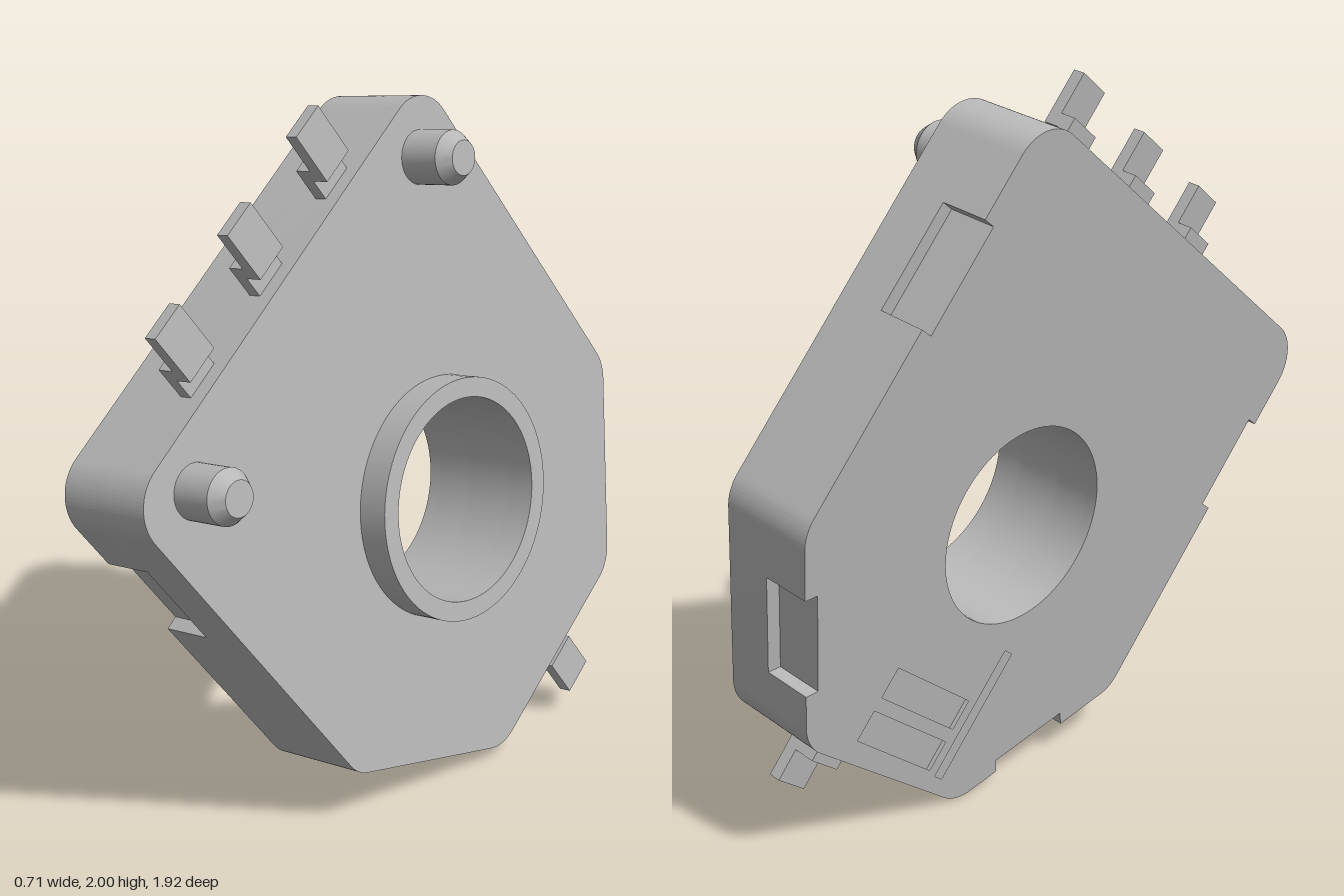
import * as THREE from 'three';
import { toCreasedNormals } from 'three/addons/utils/BufferGeometryUtils.js';

// Plate frame: local z is the plate normal, z = 0 is the face with the collar
const N = new THREE.Vector3(0.982, 0.13, -0.135).normalize();
const U = new THREE.Vector3(0, 1, 0).cross(N).normalize();
const V = N.clone().cross(U);
const THICK = 0.302, NOTCH_TOP = -0.15, POCKET_TOP = -0.265;

// Upright side coordinates to plate coordinates
const P = (h, y) => new THREE.Vector2((h + 0.018 * (y - 1)) / 0.991, (y - 1) / 0.991);
const mix = (a, b, t) => a.clone().lerp(b, t);

// Outline corners with radius; notch = range along the edge to the next corner
const corners = [
  { p: P(-0.973, 1.13), r: 0.13 },
  { p: P(0.228, 2.024), r: 0.13, notch: [0.26, 0.52] },
  { p: P(0.958, 1.061), r: 0.13, notch: [0.3, 0.75] },
  { p: P(0.921, 0.431), r: 0.13 },
  { p: P(0.358, 0.029), r: 0.13, notch: [0.255, 0.67] },
  { p: P(-0.265, 0.177), r: 0.11, notch: [0.52, 0.765] },
];
const holeCentre = P(0.178, 0.853), HOLE_R = 0.292;

function circle(PathType, c, r) {
  const path = new PathType();
  path.absarc(c.x, c.y, r, 0, Math.PI * 2, false);
  return path;
}

// Rounded outline, optionally with shallow notches cut into its edges
function plateShape(notched) {
  const s = new THREE.Shape();
  corners.forEach(({ p, r, notch }, i) => {
    const prev = corners[(i + 5) % 6].p, next = corners[(i + 1) % 6].p;
    const dIn = p.clone().sub(prev).normalize(), dOut = next.clone().sub(p).normalize();
    const turn = Math.acos(dIn.dot(dOut));
    const t = r * Math.tan(turn / 2), k = t - (4 / 3) * Math.tan(turn / 4) * r;
    const at = (d, m) => p.clone().addScaledVector(d, m);
    const a = at(dIn, -t), c1 = at(dIn, -k), c2 = at(dOut, k), b = at(dOut, t);
    if (i === 0) s.moveTo(a.x, a.y); else s.lineTo(a.x, a.y);
    s.bezierCurveTo(c1.x, c1.y, c2.x, c2.y, b.x, b.y);
    if (notched && notch) {
      const inward = new THREE.Vector2(dOut.y, -dOut.x).multiplyScalar(0.04);
      const q0 = mix(p, next, notch[0]), q1 = mix(p, next, notch[1]);
      for (const q of [q0, q0.clone().add(inward), q1.clone().add(inward), q1]) s.lineTo(q.x, q.y);
    }
  });
  s.closePath();
  s.holes.push(circle(THREE.Path, holeCentre, HOLE_R));
  return s;
}

function extrude(shape, z0, z1) {
  const g = new THREE.ExtrudeGeometry(shape, { depth: z1 - z0, bevelEnabled: false, curveSegments: 40 });
  g.translate(0, 0, z0);
  return toCreasedNormals(g, 0.5);
}

export function createModel() {
  const grey = new THREE.MeshStandardMaterial({ color: 0xb8b8b8 });
  grey.name = 'grey';
  const model = new THREE.Group();
  model.name = 'rotarySensor';
  const plate = new THREE.Group();
  plate.name = 'tiltedAssembly';
  plate.applyMatrix4(new THREE.Matrix4().makeBasis(U, V, N).setPosition(0.11, 1, 0));
  model.add(plate);

  const add = (name, geometry) => {
    const mesh = new THREE.Mesh(geometry, grey);
    mesh.name = name;
    plate.add(mesh);
    return mesh;
  };

  // Housing in three layers: plain, notched, and notched with pockets
  add('housingFront', extrude(plateShape(false), NOTCH_TOP, 0));
  add('housingMiddle', extrude(plateShape(true), POCKET_TOP, NOTCH_TOP));
  const back = plateShape(true);
  const along = corners[1].p.clone().sub(corners[0].p).normalize();
  const down = new THREE.Vector2(along.y, -along.x);
  const origin = P(0.18, 0.45);
  for (const [e0, e1, f0, f1] of [[0, 0.035, 0, 0.4], [0.07, 0.42, 0.17, 0.26], [0.07, 0.42, 0.3, 0.39]]) {
    const pts = [[e0, f0], [e1, f0], [e1, f1], [e0, f1]].map(([e, f]) =>
      origin.clone().addScaledVector(along, e).addScaledVector(down, f));
    back.holes.push(new THREE.Path(pts));
  }
  add('housingBack', extrude(back, -THICK, POCKET_TOP));

  // Raised collar around the through hole
  const collar = circle(THREE.Shape, holeCentre, 0.348);
  collar.holes.push(circle(THREE.Path, holeCentre, HOLE_R));
  add('collar', extrude(collar, 0, 0.09));

  // Locating pegs with chamfered tips
  const pegProfile = [[0.075, -0.02], [0.075, 0.12], [0.048, 0.158], [0, 0.158]].map(([x, y]) => new THREE.Vector2(x, y));
  for (const c of [P(-0.745, 1.12), P(0.192, 1.808)]) {
    const g = new THREE.LatheGeometry(pegProfile, 40);
    g.rotateX(Math.PI / 2);
    add('locatingPeg', toCreasedNormals(g, 0.5)).position.set(c.x, c.y, 0);
  }

  // Stepped terminal: runs out of an edge, jogs toward the collar side, runs on
  function terminal(edge, t, base, tip, step, length) {
    const a = corners[edge].p, b = corners[(edge + 1) % 6].p, h = 0.019, W = 0.115;
    const c = mix(a, b, t), d = b.clone().sub(a).normalize();
    const out = new THREE.Vector3(-d.y, d.x, 0), up = new THREE.Vector3(0, 0, 1);
    const profile = [
      [-0.03, base - h], [step + h, base - h], [step + h, tip - h], [length, tip - h],
      [length, tip + h], [step - h, tip + h], [step - h, base + h], [-0.03, base + h],
    ].map(([x, y]) => new THREE.Vector2(x, y));
    const g = extrude(new THREE.Shape(profile), -W / 2, W / 2);
    g.applyMatrix4(new THREE.Matrix4().makeBasis(out, up, out.clone().cross(up)).setPosition(c.x, c.y, 0));
    add('terminal', g);
  }
  for (const t of [0.275, 0.502, 0.73]) terminal(0, t, -0.065, -0.015, 0.085, 0.23);
  terminal(3, 0.47, -0.1, -0.03, 0.045, 0.16);

  return model;
}
